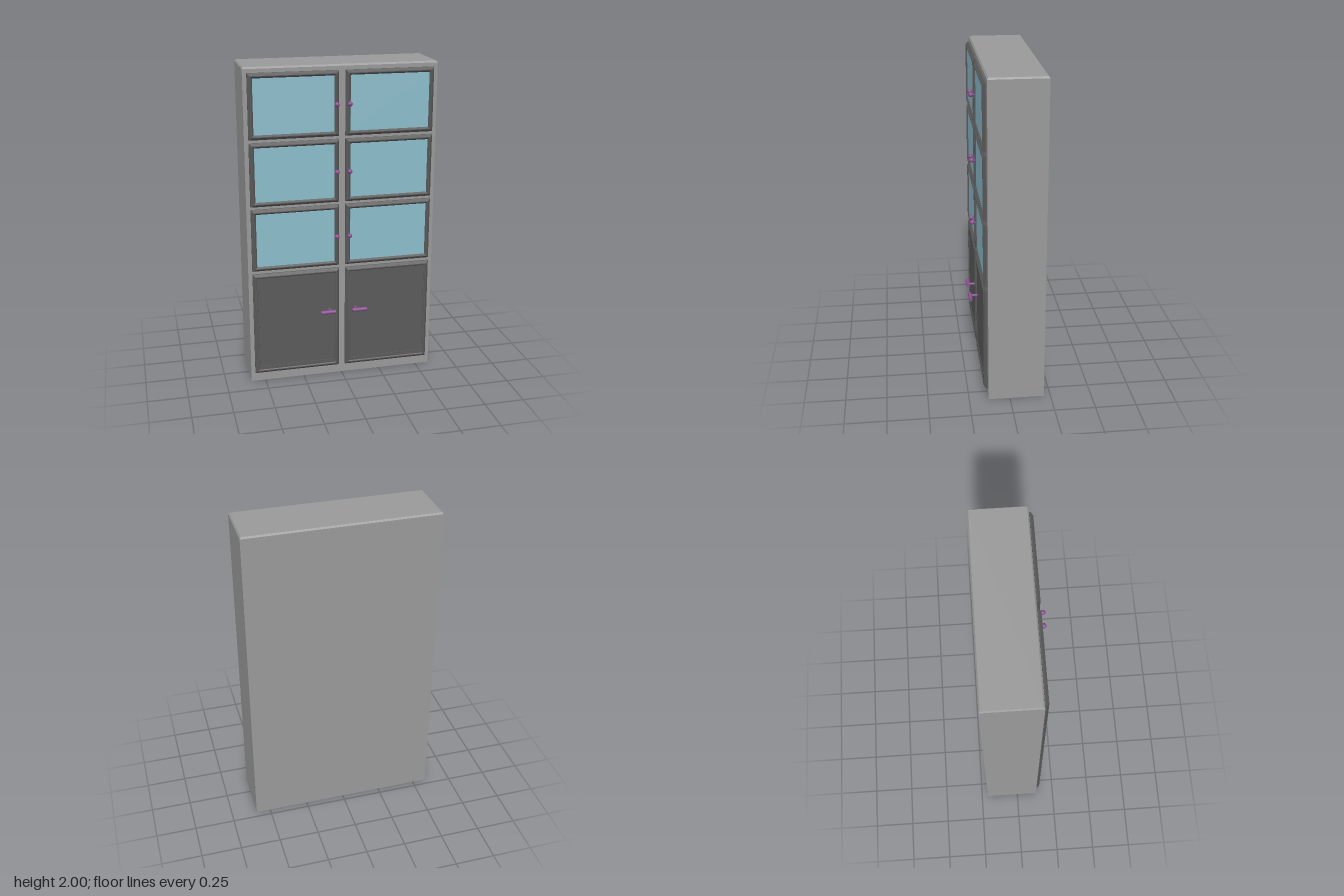
import * as THREE from 'three';

const mat = (color) => new THREE.MeshStandardMaterial({ color, flatShading: true });
const bodyMat = mat(0x999999);
const doorMat = mat(0x5a5a5a);
const glassMat = mat(0x8cbccb);
const metalMat = new THREE.MeshStandardMaterial({ color: 0x8a5090 });

// Loft of rectangles along z; each ring is [half width, half height, z].
// Both ends are closed.
function rectLoft(rings) {
  const pos = [];
  const corners = ([a, b, z]) => [[-a, -b, z], [a, -b, z], [a, b, z], [-a, b, z]];
  const quad = (a, b, c, d) => pos.push(...a, ...b, ...c, ...a, ...c, ...d);
  for (let i = 0; i < rings.length - 1; i++) {
    const p = corners(rings[i]), q = corners(rings[i + 1]);
    for (let k = 0; k < 4; k++) {
      const n = (k + 1) % 4;
      quad(p[k], p[n], q[n], q[k]);
    }
  }
  const [a, b, c, d] = corners(rings[0]);
  quad(d, c, b, a);
  quad(...corners(rings[rings.length - 1]));
  const geo = new THREE.BufferGeometry();
  geo.setAttribute('position', new THREE.Float32BufferAttribute(pos, 3));
  geo.computeVertexNormals();
  return geo;
}

function add(parent, name, geo, material, x = 0, y = 0, z = 0) {
  const mesh = new THREE.Mesh(geo, material);
  mesh.name = name;
  mesh.position.set(x, y, z);
  parent.add(mesh);
  return mesh;
}

// Door slab: steps are [inset x, inset y, z]
function door(parent, name, x, y, w, h, steps) {
  const rings = steps.map(([ix, iy, z]) => [w / 2 - ix, h / 2 - iy, z]);
  return add(parent, name, rectLoft(rings), doorMat, x, y, 0);
}

export function createModel() {
  const group = new THREE.Group();
  group.name = 'cabinet';

  // Carcass with a narrow bevel around the top
  const bodyGeo = rectLoft([
    [0.59, 0.171, 0], [0.59, 0.171, 1.99], [0.582, 0.163, 2],
  ]).rotateX(-Math.PI / 2);
  add(group, 'body', bodyGeo, bodyMat, 0, 0, -0.039);

  const doorW = 0.545, doorX = 0.2925;
  const edge = [[0, 0, 0.134], [0, 0, 0.142], [0.015, 0.015, 0.157]];
  const glassSteps = [...edge, [0.02, 0.02, 0.157], [0.03, 0.03, 0.146]];
  const panelSteps = [
    ...edge, [0.021, 0.021, 0.157], [0.024, 0.026, 0.153],
    [0.03, 0.049, 0.153], [0.031, 0.05, 0.15],
  ];

  for (const side of [-1, 1]) {
    const label = side > 0 ? 'left' : 'right';

    // Three glazed doors with round knobs
    for (const [bottom, top] of [[0.75, 1.145], [1.162, 1.555], [1.573, 1.967]]) {
      const h = top - bottom, y = (top + bottom) / 2;
      door(group, label + 'GlassDoorFrame', side * doorX, y, doorW, h, glassSteps);
      add(group, label + 'Glass', new THREE.BoxGeometry(doorW - 0.06, h - 0.06, 0.006),
        glassMat, side * doorX, y, 0.145);
      add(group, label + 'Knob', new THREE.SphereGeometry(0.015, 20, 14),
        metalMat, side * 0.04, y, 0.175);
      add(group, label + 'KnobStem',
        new THREE.CylinderGeometry(0.005, 0.005, 0.02, 12).rotateX(Math.PI / 2),
        metalMat, side * 0.04, y, 0.162);
    }

    // Solid lower door with a bar handle on a post
    door(group, label + 'LowerDoor', side * doorX, 0.394, doorW, 0.672, panelSteps);
    add(group, label + 'HandleBar',
      new THREE.CylinderGeometry(0.012, 0.012, 0.093, 20).rotateZ(Math.PI / 2),
      metalMat, side * 0.101, 0.457, 0.198);
    add(group, label + 'HandlePost',
      new THREE.CylinderGeometry(0.008, 0.008, 0.05, 16).rotateX(Math.PI / 2),
      metalMat, side * 0.083, 0.457, 0.172);
  }
  return group;
}
